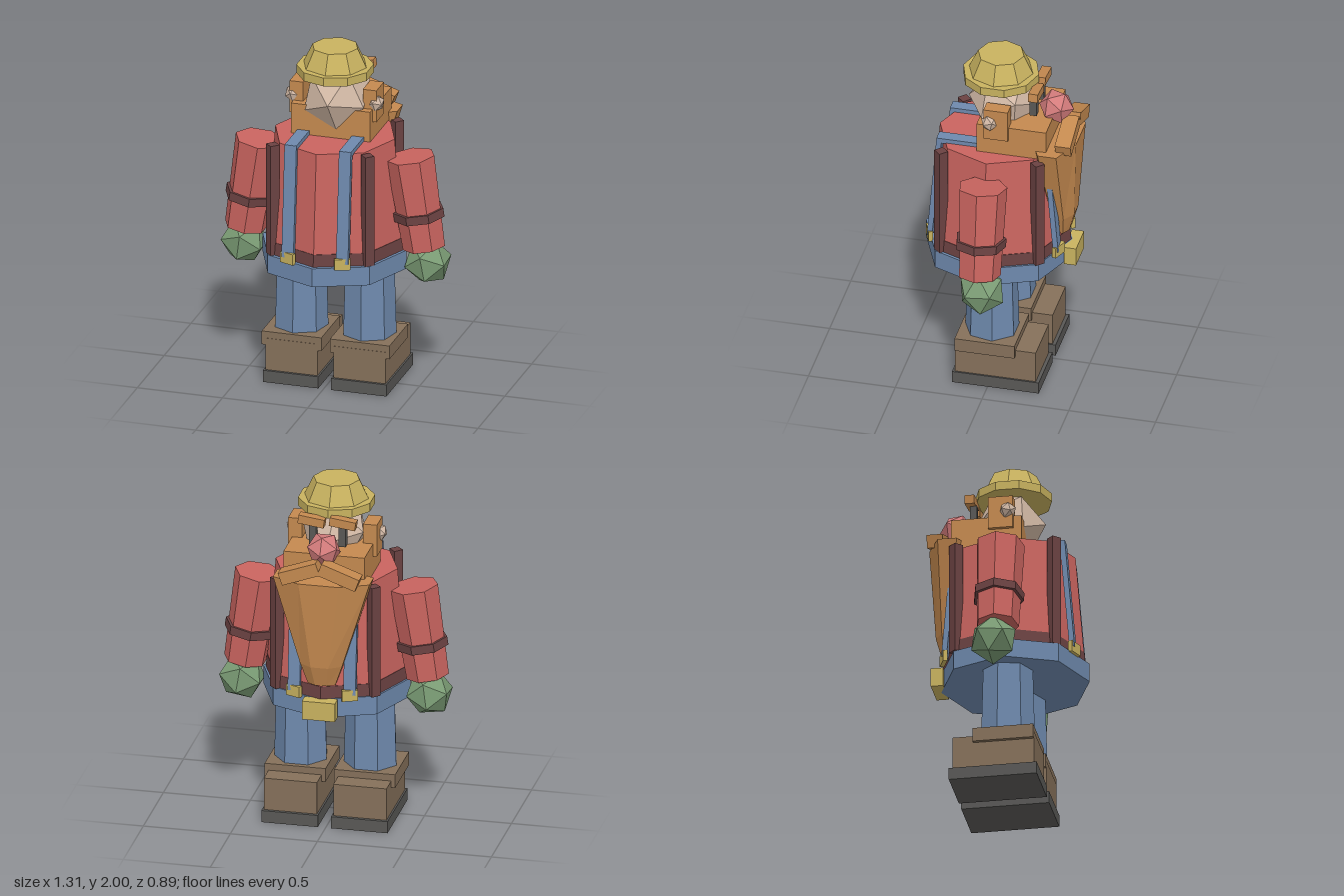
import * as THREE from 'three';

const colours = {
  shirtRed: 0xc9645f, denimBlue: 0x6e89ad, darkRed: 0x6b4242, bootBrown: 0x85705a, soleGrey: 0x595856,
  hairOrange: 0xc4894f, skin: 0xd0b7a4, hatYellow: 0xc8b25f, gloveGreen: 0x7a9b74, nosePink: 0xd47c7c,
};
const mats = {};
for (const [name, color] of Object.entries(colours)) {
  mats[name] = new THREE.MeshStandardMaterial({ color });
  mats[name].name = name;
}

// Faceted mesh: split vertices so every face is flat
function part(parent, name, geometry, mat, pos = [0, 0, 0], rot = [0, 0, 0]) {
  const g = geometry.index ? geometry.toNonIndexed() : geometry;
  g.computeVertexNormals();
  const m = new THREE.Mesh(g, mats[mat]);
  m.name = name;
  m.position.set(...pos);
  m.rotation.set(...rot);
  parent.add(m);
  return m;
}
const box = (w, h, d) => new THREE.BoxGeometry(w, h, d);
const cyl = (top, bottom, h, sides) => new THREE.CylinderGeometry(top, bottom, h, sides);
const gem = (r) => new THREE.IcosahedronGeometry(r, 0);

// Flattened octagonal beard; rings are [y, half width, half depth, z centre]
function beardGeometry() {
  const rings = [[1.53, 0.3, 0.14, -0.32], [1.02, 0.13, 0.085, -0.345], [0.9, 0.085, 0.05, -0.345]];
  const n = 8, p = [], idx = [];
  for (const [y, rx, rz, cz] of rings) {
    for (let i = 0; i < n; i++) {
      const a = ((i + 0.5) / n) * Math.PI * 2;
      p.push(Math.sin(a) * rx, y, cz + Math.cos(a) * rz);
    }
  }
  for (let r = 0; r < rings.length - 1; r++) {
    for (let i = 0; i < n; i++) {
      const a = r * n + i, b = r * n + (i + 1) % n;
      idx.push(a, a + n, b, b, a + n, b + n);
    }
  }
  const last = (rings.length - 1) * n;
  for (let i = 1; i < n - 1; i++) {
    idx.push(0, i, i + 1);
    idx.push(last, last + i + 1, last + i);
  }
  const g = new THREE.BufferGeometry();
  g.setAttribute('position', new THREE.Float32BufferAttribute(p, 3));
  g.setIndex(idx);
  return g;
}

export function createModel() {
  const root = new THREE.Group();
  root.name = 'figure';
  const body = new THREE.Group();
  body.name = 'body';
  body.position.x = 0.007;
  root.add(body);

  // Trousers and shirt
  part(body, 'trouserWaist', cyl(0.422, 0.422, 0.11, 8), 'denimBlue', [0, 0.765, 0.02]);
  part(body, 'shirt', cyl(0.35, 0.404, 0.66, 8), 'shirtRed', [0, 1.15, 0.012]);
  part(body, 'shirtHem', cyl(0.401, 0.407, 0.075, 8), 'darkRed', [0, 0.855, 0.012]);
  part(body, 'beltBuckle', box(0.19, 0.11, 0.07), 'hatYellow', [0, 0.765, -0.41]);

  for (const s of [-1, 1]) {
    // Legs and boots, toes towards -z
    const x = s * 0.2;
    part(body, 'leg', cyl(0.143, 0.155, 0.44, 7), 'denimBlue', [x, 0.5, 0.012]);
    part(body, 'bootSole', box(0.325, 0.07, 0.5), 'soleGrey', [x, 0.035, -0.045]);
    part(body, 'boot', box(0.305, 0.19, 0.465), 'bootBrown', [x, 0.165, -0.043]);
    part(body, 'bootCuff', box(0.35, 0.08, 0.345), 'bootBrown', [x, 0.26, 0.015]);

    // Arms leaning outwards at the hand
    const arm = new THREE.Group();
    arm.name = s > 0 ? 'leftArm' : 'rightArm';
    arm.position.set(s * 0.484, 1.12, 0.01);
    arm.rotation.z = s * 0.15;
    body.add(arm);
    part(arm, 'sleeve', cyl(0.14, 0.122, 0.54, 7), 'shirtRed', [0, 0, 0], [0, s * Math.PI / 2, 0]);
    part(arm, 'sleeveBand', cyl(0.146, 0.146, 0.05, 7), 'darkRed', [0, -0.07, 0], [0, s * Math.PI / 2, 0]);
    part(arm, 'glove', gem(0.138), 'gloveGreen', [0, -0.365, -0.02], [0.1, 0, 0]);

    // Corner seams and braces, front and back
    for (const f of [-1, 1]) {
      part(body, 'shirtSeam', box(0.056, 0.66, 0.056), 'darkRed', [s * 0.278, 1.15, 0.01 + f * 0.278], [0, Math.PI / 4, 0]);
      part(body, 'brace', box(0.07, 0.66, 0.03), 'denimBlue', [s * 0.16, 1.175, 0.012 + f * 0.336], [-f * 0.085, 0, 0]);
      part(body, 'braceClip', box(0.09, 0.065, 0.025), 'hatYellow', [s * 0.16, 0.845, 0.012 + f * 0.372], [0, f * s * 0.39, 0]);
    }
    part(body, 'braceTop', box(0.07, 0.03, 0.64), 'denimBlue', [s * 0.16, 1.49, 0.01]);

    // Paired face parts
    part(body, 'sideburn', box(0.08, 0.19, 0.14), 'hairOrange', [s * 0.215, 1.68, -0.02]);
    part(body, 'ear', gem(0.05), 'skin', [s * 0.242, 1.69, 0.018], [0.3, 0, 0.2]);
    part(body, 'eye', box(0.04, 0.12, 0.04), 'soleGrey', [s * 0.085, 1.74, -0.2]);
    part(body, 'eyebrow', box(0.15, 0.05, 0.055), 'hairOrange', [s * 0.09, 1.825, -0.213], [0, 0, 0.13]);
    part(body, 'moustache', box(0.23, 0.075, 0.09), 'hairOrange', [s * 0.113, 1.585, -0.4], [0, 0, -s * 0.35]);
  }

  // Head, nose and beard
  const head = part(body, 'head', gem(0.205), 'skin', [0.005, 1.7, -0.01], [0.5, 0.1, 0.1]);
  head.scale.set(1, 0.95, 1);
  part(body, 'nose', gem(0.1), 'nosePink', [0, 1.695, -0.31], [0.5, 0, 0]);
  part(body, 'beardCollar', box(0.465, 0.18, 0.4), 'hairOrange', [0, 1.57, -0.105]);
  part(body, 'beard', beardGeometry(), 'hairOrange');

  // Hat
  part(body, 'hatBrim', cyl(0.217, 0.217, 0.05, 10), 'hatYellow', [0, 1.865, 0.01]);
  part(body, 'hatCrown', cyl(0.132, 0.184, 0.11, 8), 'hatYellow', [0, 1.945, 0.01]);

  return root;
}
